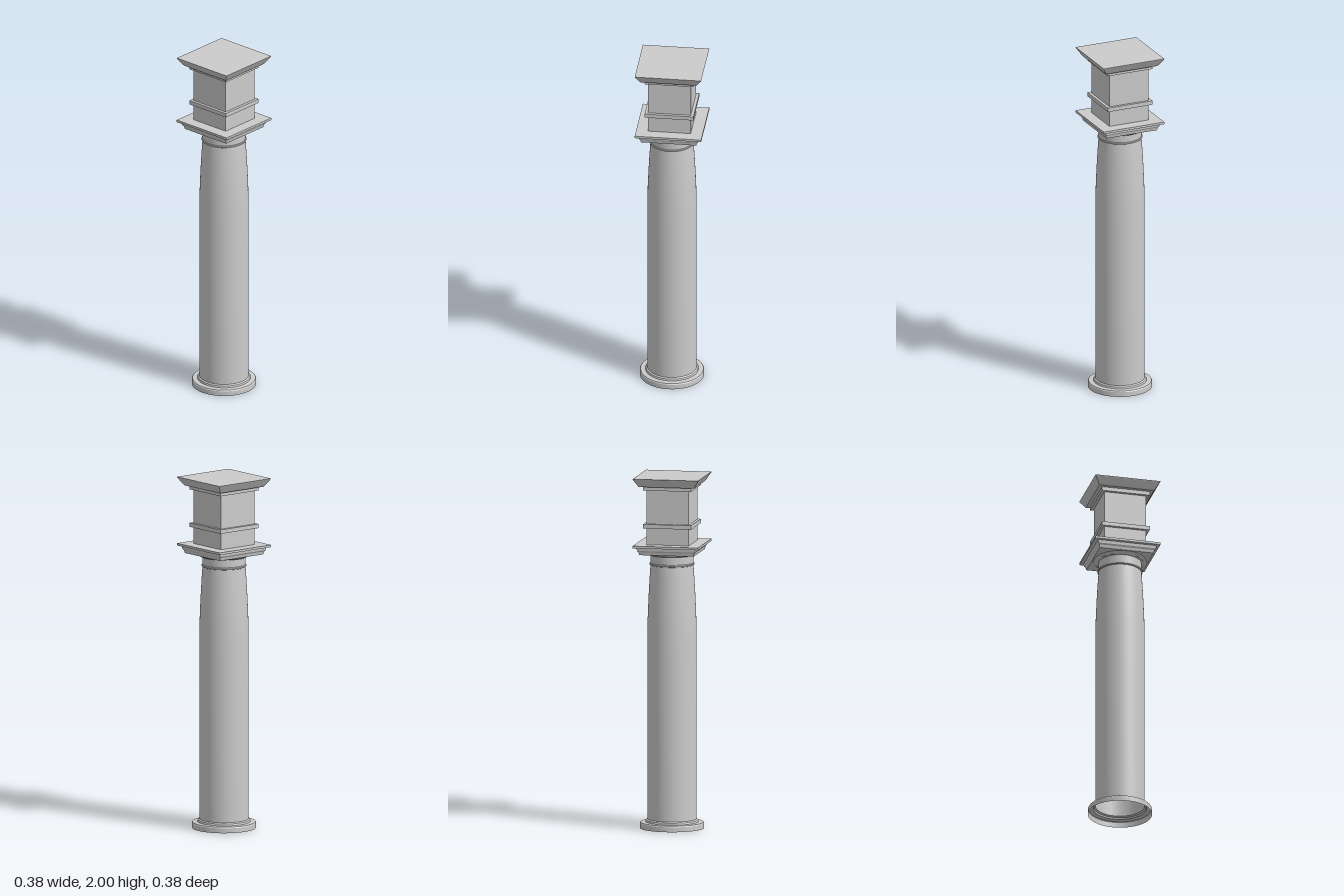
import * as THREE from 'three';
import { toCreasedNormals } from 'three/addons/utils/BufferGeometryUtils.js';

const smooth = new THREE.MeshStandardMaterial({ color: 0xcccccc, side: THREE.DoubleSide });
const flat = new THREE.MeshStandardMaterial({ color: 0xcccccc, flatShading: true, side: THREE.DoubleSide });

// Round part from [radius, height] pairs, bottom to top
function turned(name, profile) {
  const pts = profile.map(([r, y]) => new THREE.Vector2(r, y));
  const mesh = new THREE.Mesh(toCreasedNormals(new THREE.LatheGeometry(pts, 48), 0.5), smooth);
  mesh.name = name;
  return mesh;
}

// Square part from [half width, height] pairs, bottom to top
function squared(name, profile) {
  const pts = profile.map(([h, y]) => new THREE.Vector2(h * Math.SQRT2, y));
  const mesh = new THREE.Mesh(new THREE.LatheGeometry(pts, 4, Math.PI / 4), flat);
  mesh.name = name;
  return mesh;
}

// Closed square slab between two heights
const slab = (name, half, y0, y1) => squared(name, [[0, y0], [half, y0], [half, y1], [0, y1]]);

export function createModel() {
  const column = new THREE.Group();
  column.name = 'column';

  // Hollow base ring, open underneath
  column.add(turned('base', [
    [0.181, 0], [0.181, 0.028], [0.177, 0.034], [0.15, 0.036], [0.147, 0.046], [0.139, 0.052],
  ]));

  // Shaft, straight below and gently tapering above
  column.add(turned('shaft', [
    [0.139, 0.052], [0.139, 1.1], [0.136, 1.22], [0.131, 1.33], [0.126, 1.42], [0.121, 1.495],
  ]));

  // Neck with thin ring at its foot
  column.add(turned('neckRing', [
    [0.121, 1.493], [0.125, 1.495], [0.127, 1.5], [0.125, 1.505], [0.121, 1.507],
  ]));
  column.add(turned('neck', [[0.121, 1.507], [0.121, 1.552]]));
  column.add(turned('echinus', [
    [0.121, 1.552], [0.135, 1.553], [0.139, 1.557], [0.147, 1.562], [0.152, 1.572],
  ]));

  // Square capital
  column.add(squared('abacus', [
    [0, 1.565], [0.156, 1.565], [0.16, 1.582], [0.167, 1.59], [0.169, 1.607],
    [0.188, 1.607], [0.188, 1.62], [0, 1.62],
  ]));

  // Square block with its bands
  column.add(slab('block', 0.121, 1.62, 1.955));
  column.add(slab('middleBand', 0.138, 1.715, 1.738));
  column.add(slab('upperBand', 0.138, 1.93, 1.952));

  // Flaring top cap
  column.add(squared('cornice', [
    [0, 1.952], [0.158, 1.952], [0.164, 1.96], [0.186, 1.995], [0.188, 2], [0, 2],
  ]));

  return column;
}
